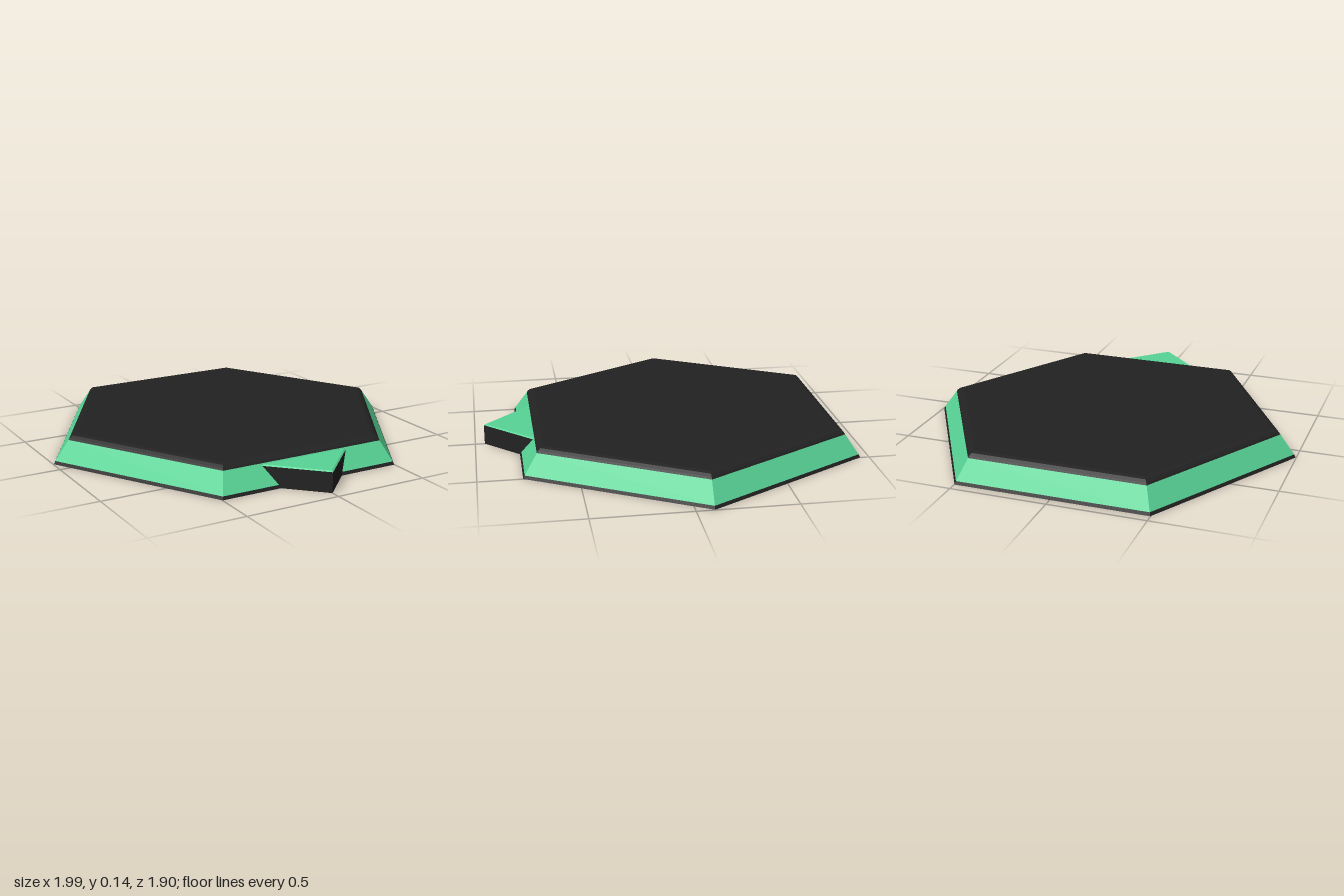
import * as THREE from 'three';

const black = new THREE.MeshStandardMaterial({ color: 0x222222, flatShading: true, side: THREE.DoubleSide });
black.name = 'charcoal';
const green = new THREE.MeshStandardMaterial({ color: 0x58d496, flatShading: true, side: THREE.DoubleSide });
green.name = 'mint green';

const CENTRE_Z = -0.09;

// Six-sided ring or cap from a [radius, height] profile, with corners on the x axis
function hexPart(name, profile, material) {
  const points = profile.map(([r, y]) => new THREE.Vector2(r, y));
  const mesh = new THREE.Mesh(new THREE.LatheGeometry(points, 6, Math.PI / 2), material);
  mesh.name = name;
  mesh.position.z = CENTRE_Z;
  return mesh;
}

// Pointer outline: right corner, tip, left corner, pulled in by an inset
function outline(inset, y) {
  const back = 0.69, half = 0.26 - inset;
  return [[-half, y, back], [0, y, back + half], [half, y, back]];
}

// Side faces between two pointer outlines
function pointerBand(name, lower, upper, material) {
  const positions = [];
  for (let i = 0; i < 2; i++) {
    const a = lower[i], b = lower[i + 1], c = upper[i + 1], d = upper[i];
    positions.push(...a, ...b, ...c, ...a, ...c, ...d);
  }
  return pointerMesh(name, positions, material);
}

function pointerMesh(name, positions, material) {
  const geometry = new THREE.BufferGeometry();
  geometry.setAttribute('position', new THREE.Float32BufferAttribute(positions, 3));
  geometry.computeVertexNormals();
  const mesh = new THREE.Mesh(geometry, material);
  mesh.name = name;
  return mesh;
}

export function createModel() {
  const model = new THREE.Group();
  model.name = 'hexagonalBase';

  // Hollow base, open underneath
  model.add(
    hexPart('bottomRim', [[0.997, 0], [0.988, 0.016]], black),
    hexPart('slopedWall', [[0.988, 0.016], [0.912, 0.116]], green),
    hexPart('topPlate', [[0.912, 0.116], [0.905, 0.126], [0.89, 0.137], [0.868, 0.143], [0, 0.143]], black),
  );

  // Triangular front pointer with a narrow bevel round its lid
  const pointer = new THREE.Group();
  pointer.name = 'frontPointer';
  const foot = outline(0, 0), edge = outline(0, 0.105), lid = outline(0.01, 0.111);
  pointer.add(
    pointerBand('pointerSides', foot, edge, black),
    pointerBand('pointerBevel', edge, lid, green),
    pointerMesh('pointerLid', [...lid[0], ...lid[1], ...lid[2]], green),
  );
  model.add(pointer);

  return model;
}
